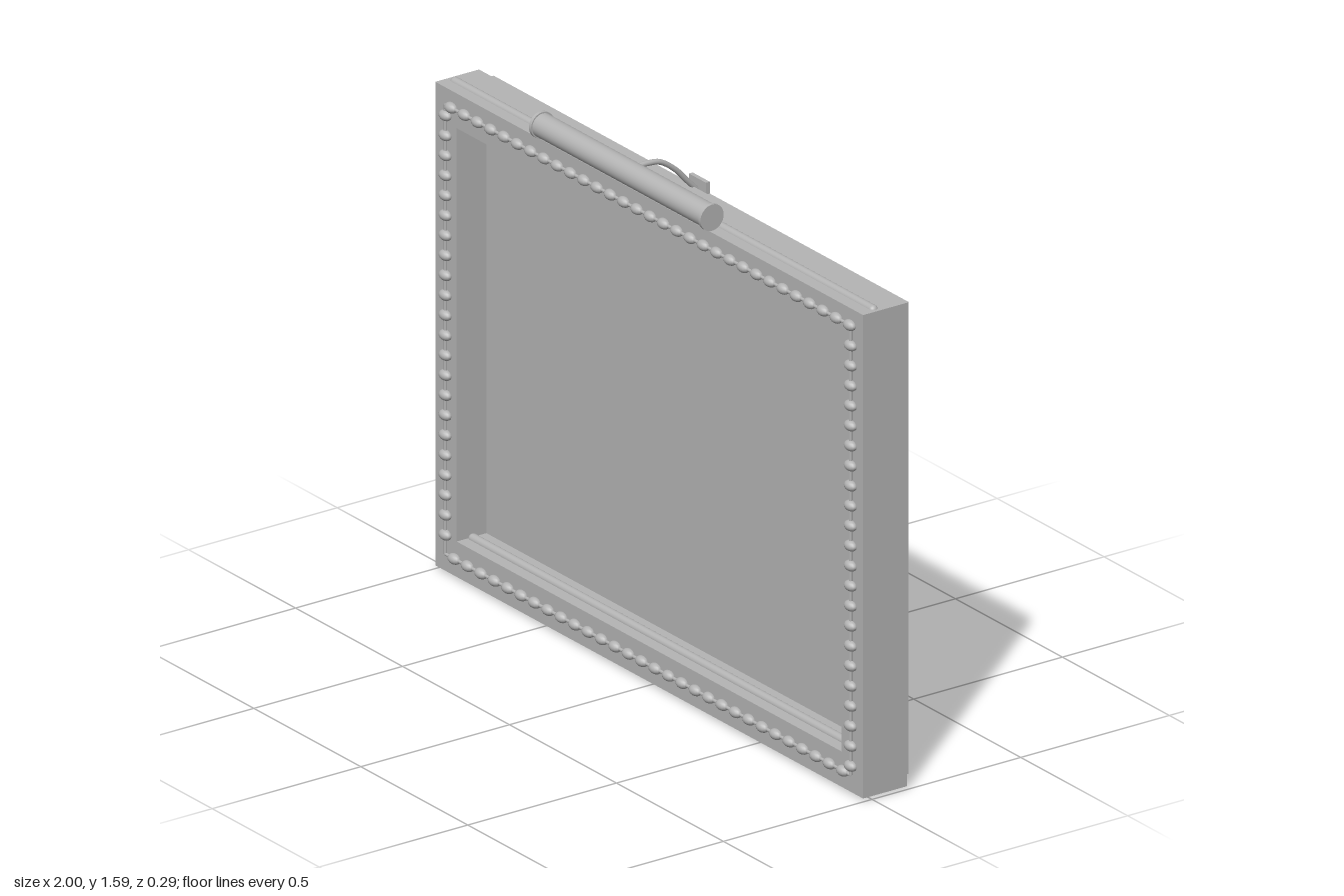
import * as THREE from 'three';

export function createModel() {
  const model = new THREE.Group();
  model.name = 'framedPanelWithLamp';
  const grey = new THREE.MeshStandardMaterial({ color: 0xb4b4b4 });
  grey.name = 'grey';

  function add(parent, name, geometry, x = 0, y = 0, z = 0) {
    const mesh = new THREE.Mesh(geometry, grey);
    mesh.name = name;
    mesh.position.set(x, y, z);
    parent.add(mesh);
    return mesh;
  }
  function group(name) {
    const g = new THREE.Group();
    g.name = name;
    model.add(g);
    return g;
  }

  // Frame: rectangle with a rectangular opening
  const rect = (shape, x, y0, y1) => shape
    .moveTo(-x, y0).lineTo(x, y0).lineTo(x, y1).lineTo(-x, y1).closePath();
  const outline = rect(new THREE.Shape(), 1, 0.01, 1.445);
  outline.holes.push(rect(new THREE.Path(), 0.9, 0.115, 1.342));
  add(model, 'frame', new THREE.ExtrudeGeometry(outline,
    { depth: 0.147, bevelEnabled: false }), 0, 0, -0.117);

  // Recessed picture panel and backing board
  add(model, 'picturePanel', new THREE.BoxGeometry(1.84, 1.27, 0.046), 0, 0.7285, -0.093);
  add(model, 'backBoard', new THREE.BoxGeometry(1.94, 1.4, 0.03), 0, 0.73, -0.13);

  // Rounded ridges along the outer and inner faces of the rails
  const ridges = group('ridges');
  for (const [name, y, half] of [
    ['topOuterRidge', 1.441, 0.99], ['topInnerRidge', 1.342, 0.905],
    ['bottomInnerRidge', 0.115, 0.905], ['bottomOuterRidge', 0.014, 0.99],
  ]) {
    const geo = new THREE.CapsuleGeometry(0.014, 2 * half - 0.028, 6, 16).rotateZ(Math.PI / 2);
    add(ridges, name, geo, 0, y, -0.02);
  }

  // Beaded string running round the front face
  const beads = group('beading');
  const X = 0.947, TOP = 1.397, BOTTOM = 0.063, Z = 0.034;
  const beadGeo = new THREE.SphereGeometry(1, 14, 10).scale(0.024, 0.0155, 0.016);
  const row = (name, n, x0, y0, x1, y1) => {
    for (let i = 0; i < n; i++) {
      const t = i / (n - 1);
      add(beads, name, beadGeo, x0 + (x1 - x0) * t, y0 + (y1 - y0) * t, Z);
    }
  };
  row('topBead', 31, -0.92, TOP, 0.943, TOP);
  row('bottomBead', 30, -0.905, BOTTOM, 0.911, BOTTOM);
  row('rightBead', 22, -X, 1.365, -X, 0.12);
  row('leftBead', 22, X, 1.338, X, 0.09);
  const across = new THREE.CylinderGeometry(0.005, 0.005, 2 * X, 8).rotateZ(Math.PI / 2);
  const upright = new THREE.CylinderGeometry(0.005, 0.005, TOP - BOTTOM, 8);
  for (const y of [TOP, BOTTOM]) add(beads, 'string', across, 0, y, Z);
  for (const x of [-X, X]) add(beads, 'string', upright, x, (TOP + BOTTOM) / 2, Z);

  // Picture lamp: tube with end rims, curved arm and bracket
  const lamp = group('lamp');
  const lampY = 1.546, lampZ = 0.107;
  add(lamp, 'lampTube', new THREE.CylinderGeometry(0.035, 0.035, 0.79, 32)
    .rotateZ(Math.PI / 2), 0, lampY, lampZ);
  for (const s of [-1, 1]) {
    add(lamp, 'lampEndRim', new THREE.CylinderGeometry(0.039, 0.039, 0.01, 32)
      .rotateZ(Math.PI / 2), s * 0.396, lampY, lampZ);
  }
  const path = new THREE.CatmullRomCurve3([
    [0.08, 1.55], [0.035, 1.551], [-0.005, 1.545], [-0.057, 1.51], [-0.095, 1.469], [-0.13, 1.433],
  ].map(([z, y]) => new THREE.Vector3(0, y, z)));
  add(lamp, 'lampArm', new THREE.TubeGeometry(path, 32, 0.008, 10));
  add(lamp, 'lampBracket', new THREE.BoxGeometry(0.08, 0.037, 0.013), 0, 1.4465, -0.1385);

  return model;
}
